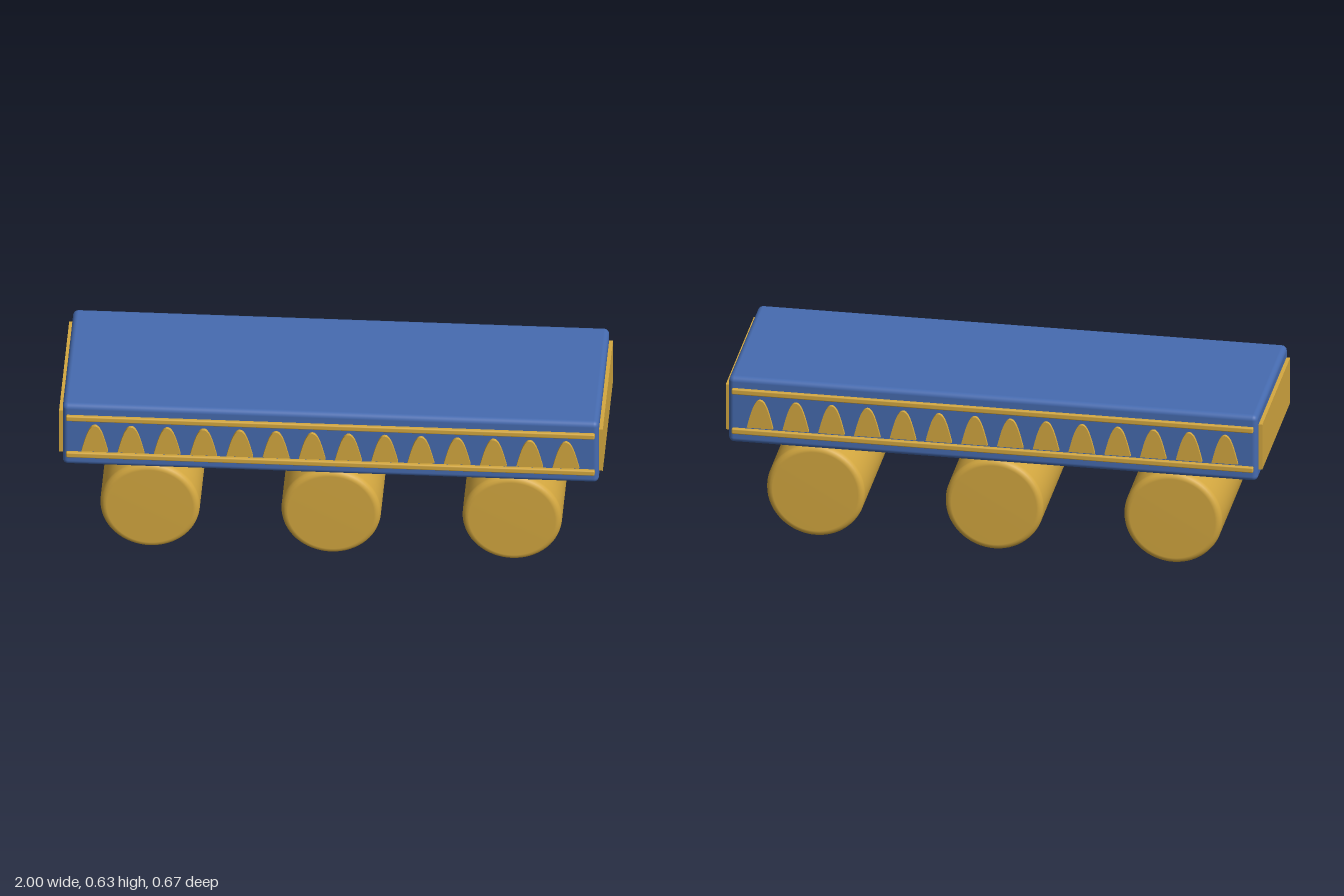
import * as THREE from 'three';
import { RoundedBoxGeometry } from 'three/addons/geometries/RoundedBoxGeometry.js';

const blue = new THREE.MeshStandardMaterial({ color: 0x466bb0 });
blue.name = 'blue';
const gold = new THREE.MeshStandardMaterial({ color: 0xd4a840 });
gold.name = 'gold';

function add(parent, name, geometry, material, x, y, z) {
  const mesh = new THREE.Mesh(geometry, material);
  mesh.name = name;
  mesh.position.set(x, y, z);
  parent.add(mesh);
  return mesh;
}

// Roller with rounded rims, lying along z
function rollerGeometry(r, half, bevel) {
  const pts = [new THREE.Vector2(0, -half), new THREE.Vector2(r - bevel, -half)];
  const rim = [];
  for (let i = 0; i <= 4; i++) {
    const a = (i / 4) * Math.PI / 2;
    rim.push([r - bevel + bevel * Math.sin(a), half - bevel + bevel * Math.cos(a)]);
  }
  for (const [px, py] of rim) pts.push(new THREE.Vector2(px, -py));
  for (const [px, py] of rim.reverse()) pts.push(new THREE.Vector2(px, py));
  pts.push(new THREE.Vector2(r - bevel, half), new THREE.Vector2(0, half));
  // drop the doubled points at the start of each rim
  const clean = pts.filter((p, i) => i === 0 || p.distanceTo(pts[i - 1]) > 1e-6);
  return new THREE.LatheGeometry(clean, 64).rotateX(Math.PI / 2);
}

// Flat arch with a rounded crown and gently flared feet
function archGeometry(depth) {
  const s = new THREE.Shape();
  s.moveTo(-0.049, 0);
  s.lineTo(0.049, 0);
  s.bezierCurveTo(0.034, 0.06, 0.022, 0.112, 0, 0.112);
  s.bezierCurveTo(-0.022, 0.112, -0.034, 0.06, -0.049, 0);
  return new THREE.ExtrudeGeometry(s, { depth, bevelEnabled: false, curveSegments: 12 });
}

export function createModel() {
  const model = new THREE.Group();
  model.name = 'rollerPlatform';

  // Platform body
  add(model, 'body', new RoundedBoxGeometry(1.972, 0.266, 0.64, 4, 0.02), blue, 0, 0.501, 0);

  // Panels on both ends
  const panel = new THREE.BoxGeometry(0.03, 0.182, 0.588);
  for (const side of [-1, 1]) add(model, 'endPanel', panel, gold, side * 0.985, 0.5, 0);

  // Rails and arches on both long sides
  const rail = new RoundedBoxGeometry(1.944, 0.022, 0.022, 2, 0.005);
  const arch = archGeometry(0.024);
  for (const turn of [0, Math.PI]) {
    const trim = new THREE.Group();
    trim.name = turn ? 'backTrim' : 'frontTrim';
    for (const y of [0.42, 0.58]) add(trim, 'rail', rail, gold, 0, y, 0.322);
    for (let i = 0; i < 14; i++) {
      add(trim, 'arch', arch, gold, (i - 6.5) * 0.1333, 0.44, 0.309);
    }
    trim.rotation.y = turn;
    model.add(trim);
  }

  // Three rollers underneath
  const roller = rollerGeometry(0.183, 0.3, 0.024);
  for (const x of [-0.666, 0, 0.666]) add(model, 'roller', roller, gold, x, 0.185, 0);

  return model;
}
